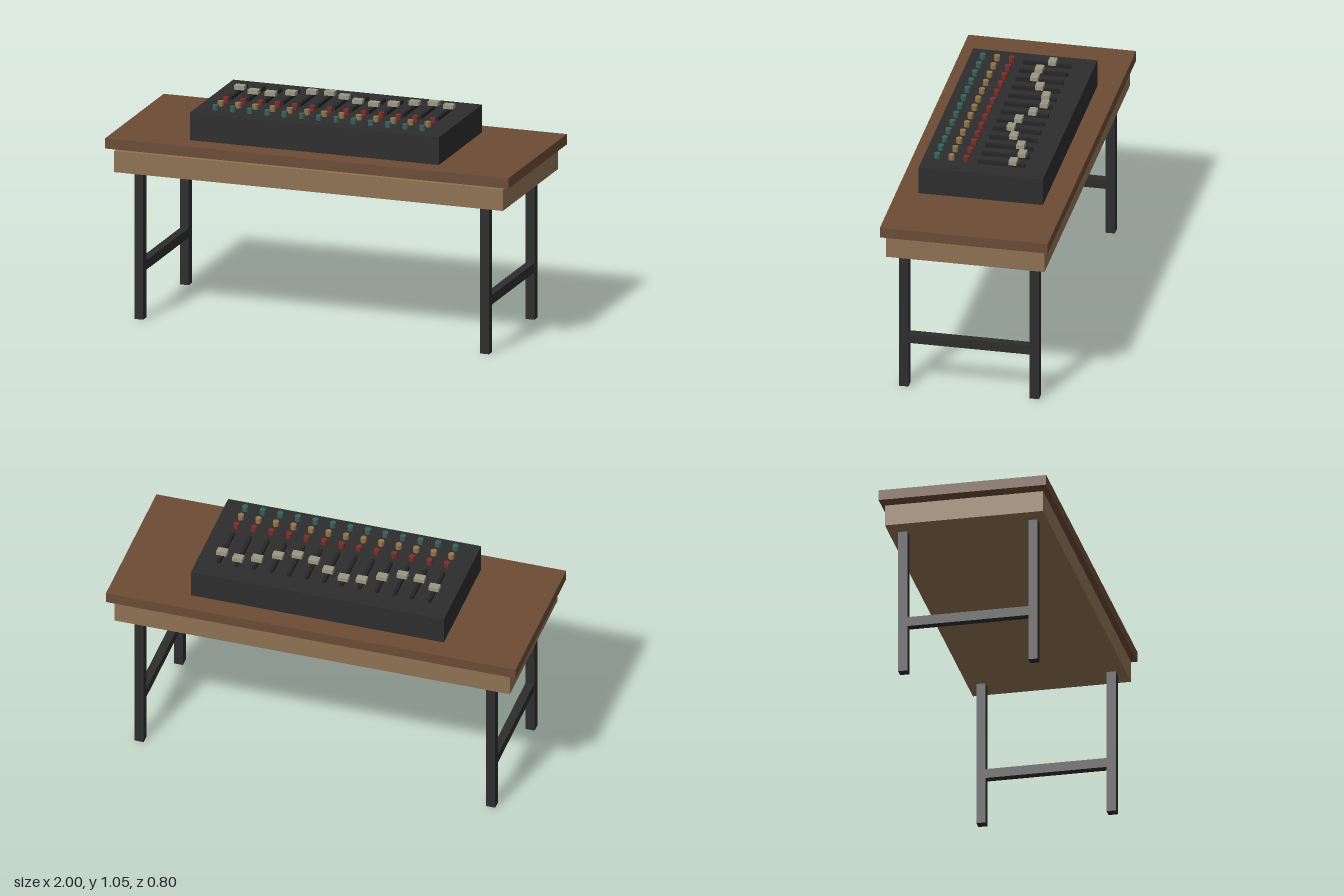
import * as THREE from 'three';

const mat = (name, color) => {
  const m = new THREE.MeshStandardMaterial({ color });
  m.name = name;
  return m;
};

export function createModel() {
  const walnut = mat('walnut', 0x6b4b35);
  const oak = mat('oak', 0x8e7253);
  const charcoal = mat('charcoal', 0x2d2d2d);
  const black = mat('black', 0x242424);
  const bone = mat('bone', 0x9a9882);
  const red = mat('red', 0x7a2e2a);
  const tan = mat('tan', 0x937349);
  const teal = mat('teal', 0x39605a);
  for (const m of [red, tan, teal]) m.flatShading = true;

  const model = new THREE.Group();
  model.name = 'mixingDesk';

  const add = (parent, name, geometry, material, x, y, z) => {
    const mesh = new THREE.Mesh(geometry, material);
    mesh.name = name;
    mesh.position.set(x, y, z);
    parent.add(mesh);
    return mesh;
  };
  // Box given by its size, bottom height and centre
  const box = (parent, name, material, w, h, d, x, bottom, z) =>
    add(parent, name, new THREE.BoxGeometry(w, h, d), material, x, bottom + h / 2, z);

  // Table
  const table = new THREE.Group();
  table.name = 'table';
  model.add(table);
  box(table, 'tableTop', walnut, 2, 0.05, 0.8, 0, 0.833, 0);
  box(table, 'apron', oak, 1.93, 0.102, 0.755, 0, 0.716, 0);
  for (const side of [-1, 1]) {
    for (const end of [-1, 1]) {
      box(table, 'leg', charcoal, 0.044, 0.833, 0.044, side * 0.858, 0, end * 0.311);
    }
    box(table, 'stretcher', charcoal, 0.04, 0.046, 0.58, side * 0.858, 0.229, 0);
  }

  // Console body
  const desk = new THREE.Group();
  desk.name = 'console';
  model.add(desk);
  box(desk, 'consoleBody', charcoal, 1.235, 0.134, 0.592, 0, 0.883, 0);

  // Channel strips: fader track, fader cap and three knobs each
  const knob = new THREE.CylinderGeometry(0.0145, 0.0145, 0.025, 10);
  const knobRows = [['redKnob', red, 0.09], ['tanKnob', tan, 0.16], ['tealKnob', teal, 0.229]];
  for (let i = 0; i < 13; i++) {
    const channel = new THREE.Group();
    channel.name = 'channel';
    channel.position.x = (i - 6) * 0.0856;
    desk.add(channel);
    box(channel, 'faderTrack', black, 0.016, 0.016, 0.228, 0, 1.017, -0.079);
    box(channel, 'faderCap', bone, 0.05, 0.02, 0.037, 0, 1.033, -0.105 + 0.054 * Math.sin(i));
    for (const [name, material, z] of knobRows) add(channel, name, knob, material, 0, 1.035, z);
  }
  return model;
}
